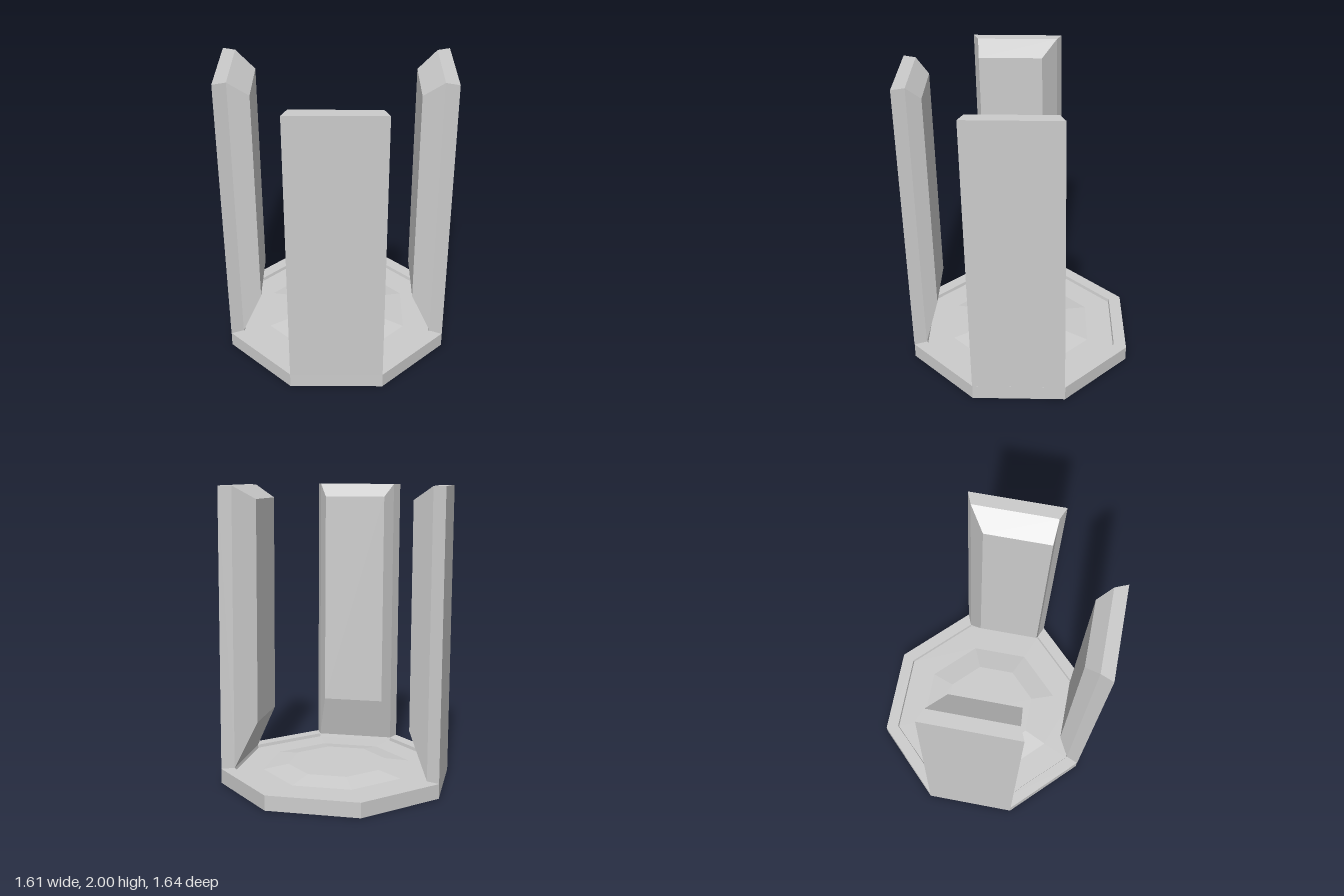
import * as THREE from 'three';

const SIDES = 8;
const BASE_TOP = 0.1;

// Corner k of an octagon of radius r at height y; the tower leans slightly with height
function corner(r, k, y, dx = 0, dz = 0) {
  const a = (k / SIDES) * Math.PI * 2;
  return [
    -0.01 + 0.006 * y + dx + r * Math.cos(a),
    y,
    -0.02 + 0.02 * y + dz + r * Math.sin(a),
  ];
}

// Solid wall on side k: outer face, rim and bevelled inner face as three nested loops
function wallGeometry(k) {
  const loop = (r, y0, y1, dx, dz) => [
    corner(r, k + 1, y0, dx, dz),
    corner(r, k, y0, dx, dz),
    corner(r, k, y1, dx, dz),
    corner(r, k + 1, y1, dx, dz),
  ];
  const loops = [
    loop(0.8, BASE_TOP, 2),
    loop(0.71, BASE_TOP, 2),
    loop(0.564, 0.4, 1.91, 0.018, 0.043),
  ];
  const positions = [];
  const quad = (a, b, c, d) => positions.push(...a, ...b, ...c, ...a, ...c, ...d);

  quad(...loops[0]);
  for (let i = 0; i < 2; i++) {
    for (let j = 0; j < 4; j++) {
      const n = (j + 1) % 4;
      quad(loops[i][n], loops[i][j], loops[i + 1][j], loops[i + 1][n]);
    }
  }
  quad(...loops[2].slice().reverse());

  const geometry = new THREE.BufferGeometry();
  geometry.setAttribute('position', new THREE.Float32BufferAttribute(positions, 3));
  geometry.computeVertexNormals();
  return geometry;
}

export function createModel() {
  const group = new THREE.Group();
  group.name = 'octagonalTower';
  const material = new THREE.MeshStandardMaterial({ color: 0xcccccc, flatShading: true });

  // Base slab with a raised rim, sunken floor and a low central mound
  const profile = [
    [0, 0], [0.8, 0], [0.8, BASE_TOP], [0.71, BASE_TOP],
    [0.705, 0.078], [0.512, 0.08], [0.34, 0.108], [0, 0.11],
  ].map(([r, y]) => new THREE.Vector2(r, y));
  const base = new THREE.Mesh(new THREE.LatheGeometry(profile, SIDES), material);
  base.name = 'base';
  base.position.set(-0.01, 0, -0.02);
  group.add(base);

  // Three standing walls; the other sides stay open
  const walls = { frontWall: 1, rightWall: 3, leftWall: 7 };
  for (const [name, side] of Object.entries(walls)) {
    const wall = new THREE.Mesh(wallGeometry(side), material);
    wall.name = name;
    group.add(wall);
  }
  return group;
}
